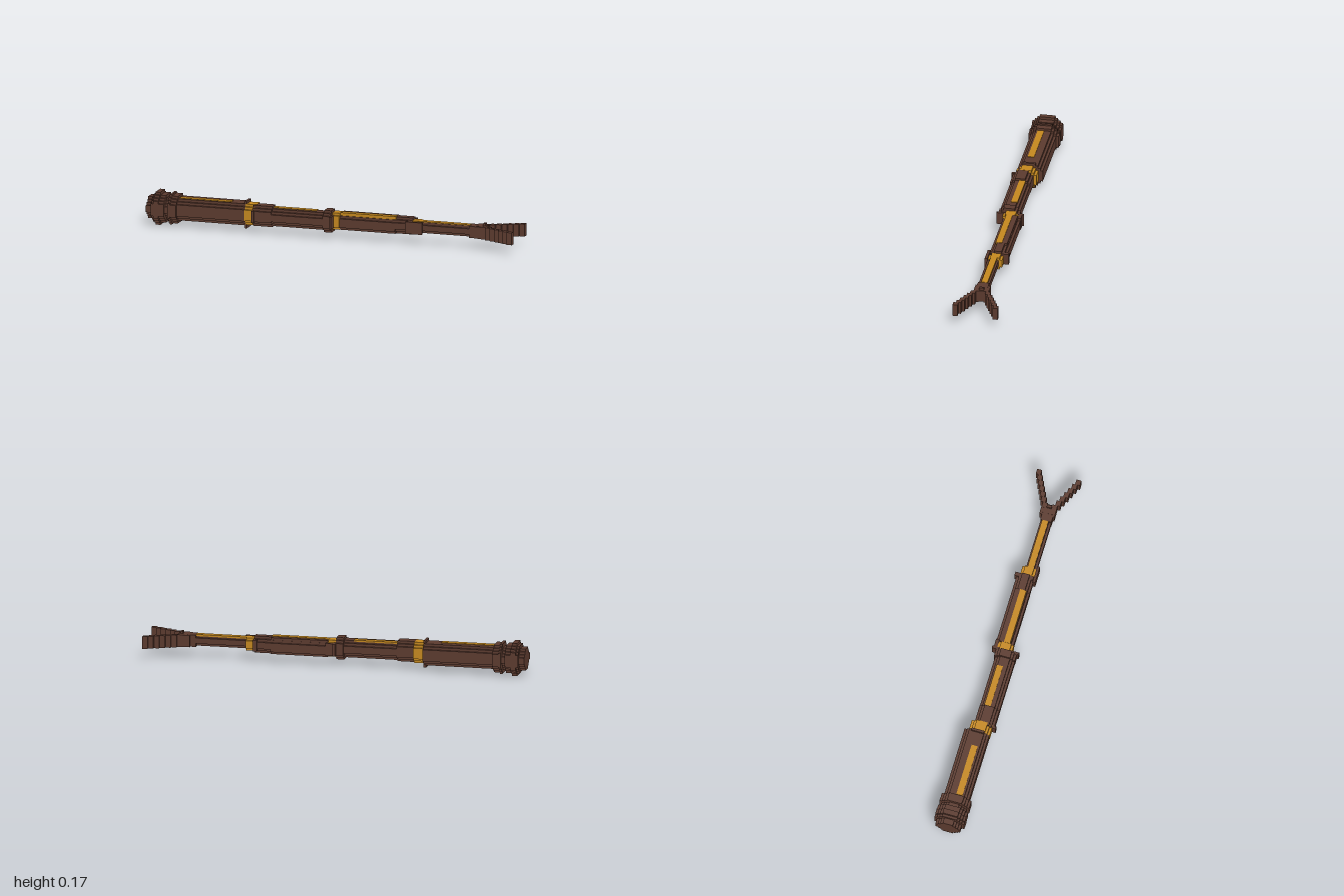
import * as THREE from 'three';

const V = 0.0131; // size of one block step

export function createModel() {
  const group = new THREE.Group();
  const brown = new THREE.MeshStandardMaterial({ color: 0x5b3a2e });
  brown.name = 'dark wood';
  const gold = new THREE.MeshStandardMaterial({ color: 0xc4881f });
  gold.name = 'gold';

  const add = (name, geometry, material) => {
    const mesh = new THREE.Mesh(geometry, material);
    mesh.name = name;
    group.add(mesh);
  };

  // Plain block given by its limits
  const block = (name, material, x0, x1, y0, y1, z0, z1) => {
    const g = new THREE.BoxGeometry(x1 - x0, y1 - y0, z1 - z0);
    g.translate((x0 + x1) / 2, (y0 + y1) / 2, (z0 + z1) / 2);
    add(name, g, material);
  };

  // Tube section along x whose four corners are cut into n square steps
  const section = (name, material, x0, x1, y0, y1, z0, z1, n) => {
    const cy = (y0 + y1) / 2, cz = (z0 + z1) / 2;
    const h = (y1 - y0) / 2, w = (z1 - z0) / 2;
    const stair = []; // one corner, from the side up to the top
    for (let i = 0; i <= n; i++) {
      stair.push([w - i * V, h - (n - i) * V]);
      if (i < n) stair.push([w - (i + 1) * V, h - (n - i) * V]);
    }
    const back = [...stair].reverse();
    const outline = [
      ...stair,
      ...back.map(([a, b]) => [-a, b]),
      ...stair.map(([a, b]) => [-a, -b]),
      ...back.map(([a, b]) => [a, -b]),
    ];
    const shape = new THREE.Shape(outline.map(([a, b]) => new THREE.Vector2(a - cz, b + cy)));
    const g = new THREE.ExtrudeGeometry(shape, { depth: x1 - x0, bevelEnabled: false });
    g.rotateY(Math.PI / 2);
    g.translate(x0, 0, 0);
    add(name, g, material);
  };

  // Pommel: stacked stepped discs; grow is in block steps
  const pommel = [
    [-1, -0.97, 0], [-0.97, -0.957, 1], [-0.957, -0.93, 2],
    [-0.93, -0.9, 1], [-0.9, -0.88, 0], [-0.88, -0.867, 1.5], [-0.867, -0.835, 1],
  ];
  for (const [x0, x1, grow] of pommel) {
    const dy = grow * 0.0143, dz = Math.min(grow, 1) * V;
    section('pommelDisc', brown, x0, x1, 0.029 - dy, 0.143 + dy, -0.078 - dz, 0.054 + dz, 3);
  }

  // First and widest shaft section, with its golden ring
  section('firstShaft', brown, -0.835, -0.465, 0.032, 0.145, -0.078, 0.054, 2);
  block('firstShaftFlangeTop', brown, -0.476, -0.463, 0.145, 0.158, -0.04, 0.027);
  block('firstShaftFlangeBottom', brown, -0.476, -0.463, 0.016, 0.032, -0.04, 0.027);
  section('firstRing', gold, -0.468, -0.41, 0.036, 0.145, -0.055, 0.056, 2);

  // Second shaft section
  section('secondShaftCollar', brown, -0.424, -0.32, 0.036, 0.144, -0.039, 0.066, 2);
  block('secondShaftFlange', brown, -0.424, -0.41, 0.06, 0.12, 0.056, 0.075);
  section('secondShaft', brown, -0.32, -0.04, 0.042, 0.132, -0.039, 0.066, 2);
  section('secondShaftEnd', brown, -0.04, 0, 0.03, 0.145, -0.045, 0.066, 2);
  block('secondShaftLip', brown, -0.003, 0.01, 0.055, 0.12, -0.068, 0.075);

  // Third shaft section: ring open to the front, cover plate at the back
  section('secondRing', gold, 0, 0.04, 0.045, 0.132, -0.042, 0.038, 1);
  block('secondRingCover', brown, 0.01, 0.05, 0.055, 0.12, -0.06, -0.042);
  section('thirdShaft', brown, 0.04, 0.34, 0.045, 0.118, -0.057, 0.035, 1);
  block('thirdShaftRidge', brown, 0.04, 0.34, 0.118, 0.131, -0.043, -0.014);
  section('thirdShaftEnd', brown, 0.34, 0.43, 0.045, 0.132, -0.057, 0.035, 2);
  block('thirdShaftLip', brown, 0.41, 0.43, 0.06, 0.118, -0.068, 0.03);

  // Fourth and thinnest shaft section
  section('thirdRing', gold, 0.43, 0.475, 0.053, 0.12, -0.042, 0.032, 1);
  block('thirdRingCover', brown, 0.4, 0.49, 0.055, 0.118, 0.032, 0.046);
  section('fourthShaft', brown, 0.475, 0.77, 0.06, 0.116, -0.024, 0.033, 1);

  // Golden inlays along the top: x start, x end, bottom, top
  const inlays = [
    [-0.83, -0.55, 0.14, 0.148], [-0.32, -0.09, 0.127, 0.135],
    [0.04, 0.34, 0.112, 0.134], [0.45, 0.74, 0.111, 0.12],
  ];
  for (const [x0, x1, y0, y1] of inlays) {
    block('topInlay', gold, x0, x1, y0, y1, -0.016, 0.017);
  }

  // Fork base and two stepped prongs
  block('forkBase', brown, 0.74, 0.785, 0.056, 0.118, -0.026, 0.033);
  block('forkBaseWide', brown, 0.77, 0.815, 0.056, 0.118, -0.04, 0.04);
  block('forkPeg', brown, 0.81, 0.823, 0.118, 0.132, -0.013, 0.013);
  block('forkCrotch', brown, 0.81, 0.83, 0.056, 0.118, -0.03, 0.03);
  const steps = 8, run = 0.22 / steps;
  for (const side of [-1, 1]) {
    for (let i = 0; i < steps; i++) {
      const x0 = 0.78 + i * run;
      const near = side * i * V, far = side * (i + 2) * V;
      block(side > 0 ? 'frontProng' : 'backProng', brown, x0, x0 + run, 0.054, 0.119,
        Math.min(near, far), Math.max(near, far));
    }
  }
  return group;
}
